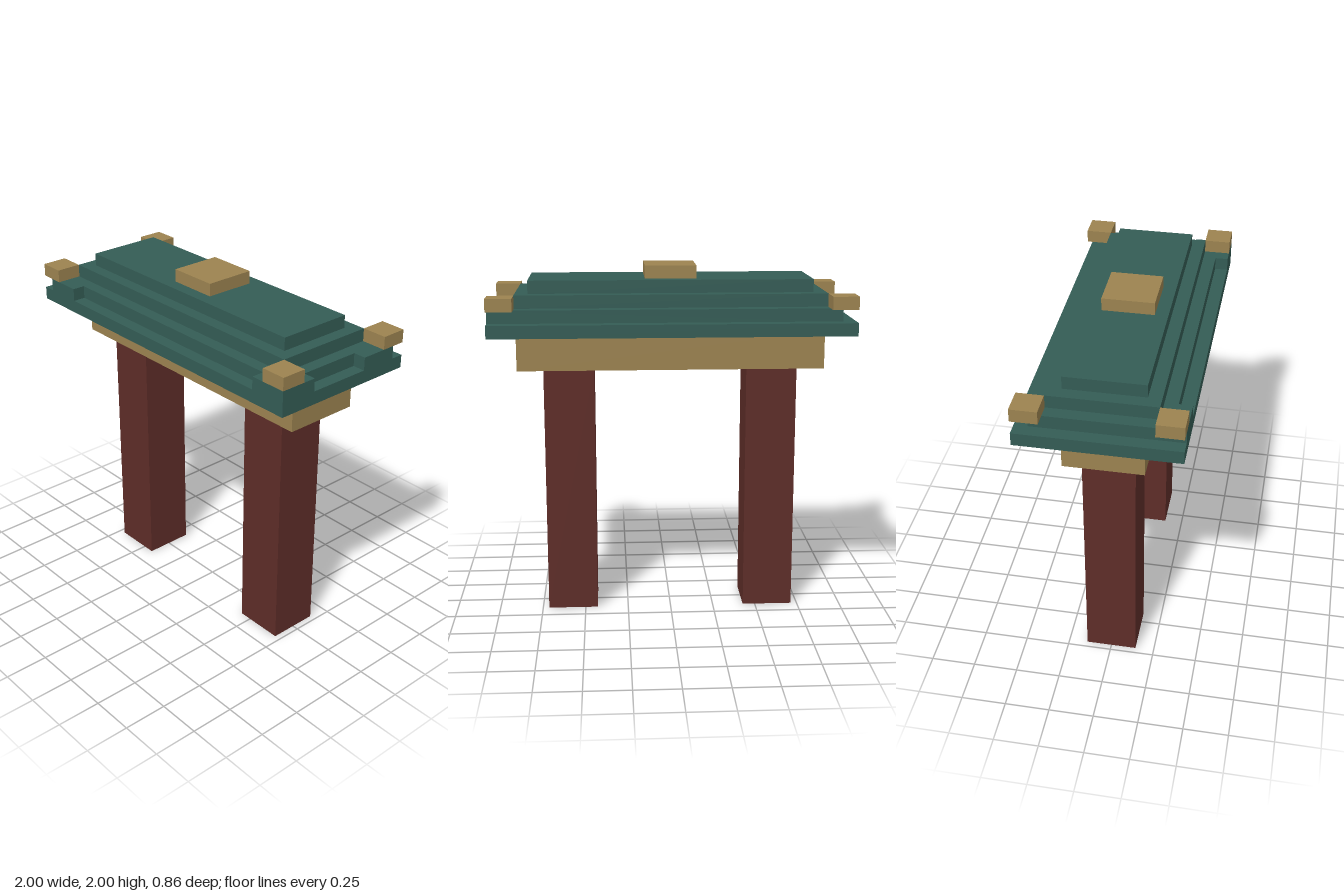
import * as THREE from 'three';

const U = 1 / 14; // block unit

export function createModel() {
  const model = new THREE.Group();
  const mat = (color) => new THREE.MeshStandardMaterial({ color });
  const red = mat(0x5e2d28), gold = mat(0x9c8350), green = mat(0x345c55);

  // Box centred on (x, z), rising from y, all in block units
  const block = (name, material, w, h, d, y, x = 0, z = 0) => {
    const mesh = new THREE.Mesh(new THREE.BoxGeometry(w * U, h * U, d * U), material);
    mesh.position.set(x * U, (y + h / 2) * U, z * U);
    mesh.name = name;
    model.add(mesh);
  };

  // Two posts and the lintel they carry
  for (const side of [1, -1]) block(side > 0 ? 'leftPost' : 'rightPost', red, 4, 20, 4, 0, side * 8);
  block('lintel', gold, 24, 3, 6, 20);

  // Stepped roof
  block('eaves', green, 28, 1, 12, 23);

  // Second step: set back at the rear and right, notched at the front and left
  const outline = [
    [-13, 6], [-10, 6], [-10, 5], [11, 5], [11, 6], [14, 6],
    [14, 3], [13, 3], [13, -2], [14, -2], [14, -5], [-13, -5],
  ].map(([x, z]) => new THREE.Vector2(x * U, -z * U));
  const stepGeometry = new THREE.ExtrudeGeometry(new THREE.Shape(outline), { depth: U, bevelEnabled: false });
  stepGeometry.rotateX(-Math.PI / 2);
  const step = new THREE.Mesh(stepGeometry, green);
  step.position.y = 24 * U;
  step.name = 'notchedRoofStep';
  model.add(step);

  block('middleRoofStep', green, 24, 1, 8, 25);
  block('upperRoofStep', green, 22, 1, 6, 26);
  block('roofCap', gold, 4, 1, 4, 27);

  // Corner ornaments
  for (const x of [-13, 13])
    for (const z of [-5, 5])
      block(`${z > 0 ? 'front' : 'back'}${x > 0 ? 'Left' : 'Right'}Corner`, gold, 2, 1, 2, 25, x, z);

  return model;
}
